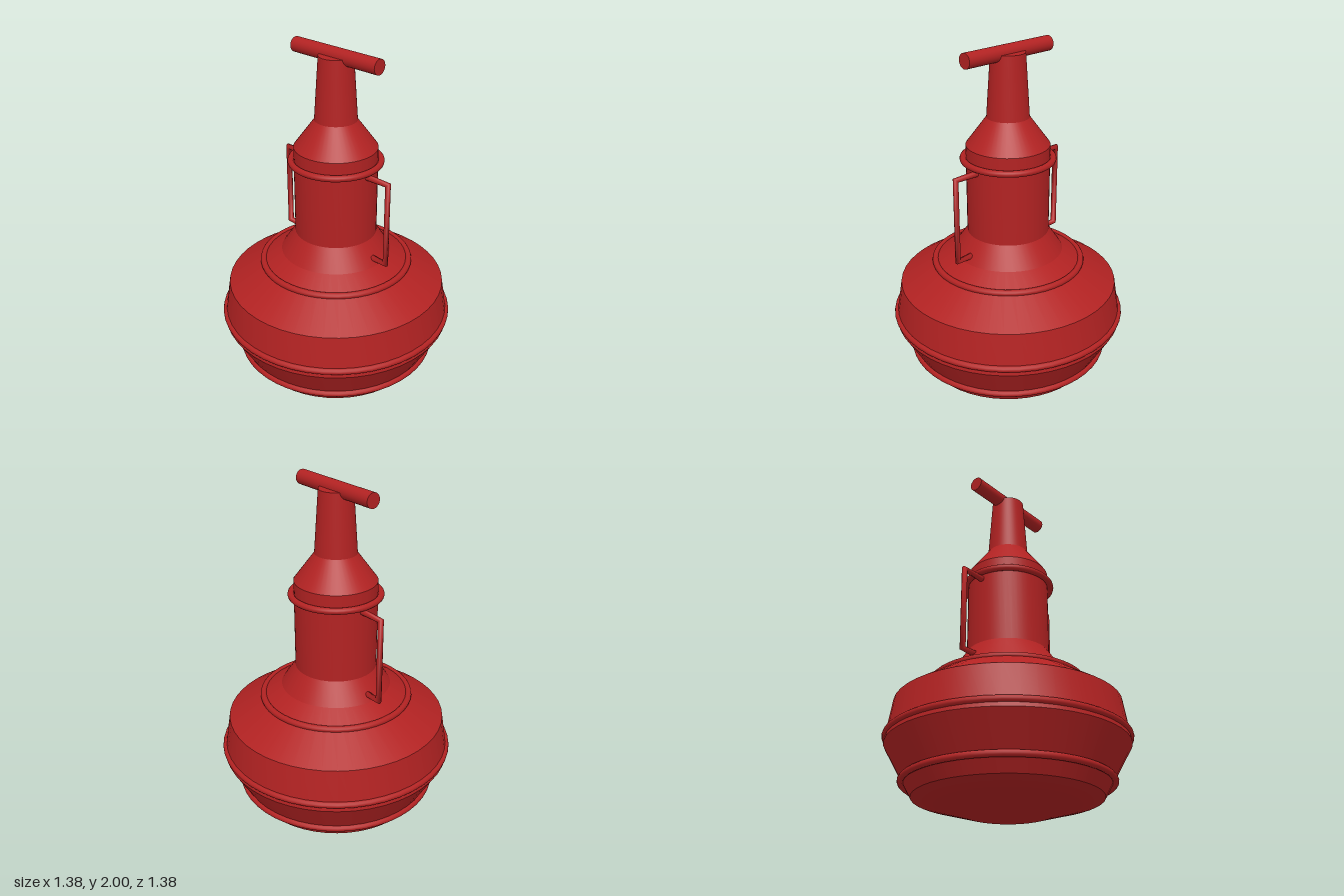
import * as THREE from 'three';
import { toCreasedNormals } from 'three/addons/utils/BufferGeometryUtils.js';

const SEGMENTS = 48;

// Straight-sided path whose rings are mitred at each corner
class BentPath extends THREE.Curve {
  constructor(points) {
    super();
    this.points = points;
  }
  getPoint(t) {
    const n = this.points.length - 1;
    const i = Math.min(Math.floor(t * n + 1e-6), n - 1);
    return this.points[i].clone().lerp(this.points[i + 1], t * n - i);
  }
  getPointAt(t) {
    return this.getPoint(t);
  }
  getTangentAt(t) {
    const p = this.points, n = p.length - 1, i = Math.round(t * n);
    const tangent = new THREE.Vector3();
    if (i > 0) tangent.add(p[i].clone().sub(p[i - 1]).normalize());
    if (i < n) tangent.add(p[i + 1].clone().sub(p[i]).normalize());
    return tangent.normalize();
  }
}

export function createModel() {
  const model = new THREE.Group();
  model.name = 'flask';
  const red = new THREE.MeshStandardMaterial({ color: 0xb22222 });
  red.name = 'red';

  function add(name, geometry, y = 0) {
    const mesh = new THREE.Mesh(geometry, red);
    mesh.name = name;
    mesh.position.y = y;
    model.add(mesh);
    return mesh;
  }

  // Turned body: base, belly, shoulder, neck and spout
  const profile = [
    [0, 0], [0.24, 0], [0.52, 0.08], [0.677, 0.36], [0.638, 0.6],
    [0.32, 0.8], [0.237, 0.922], [0.237, 1.442], [0.12, 1.6],
    [0.096, 1.957], [0, 1.957],
  ].map(([r, y]) => new THREE.Vector2(r, y));
  add('body', toCreasedNormals(new THREE.LatheGeometry(profile, SEGMENTS), 0.3));

  // Raised bands around the body
  const bands = [
    ['baseBand', 0.575, 0.162],
    ['bellyBand', 0.67, 0.4],
    ['shoulderBand', 0.43, 0.73],
    ['neckBand', 0.254, 1.36],
  ];
  for (const [name, radius, y] of bands) {
    const geometry = new THREE.TorusGeometry(radius, 0.0185, 12, SEGMENTS);
    geometry.rotateX(Math.PI / 2);
    add(name, geometry, y);
  }

  // Bent side handles
  for (const [name, side] of [['leftHandle', 1], ['rightHandle', -1]]) {
    const points = [[0.22, 1.325], [0.382, 1.325], [0.382, 0.835], [0.22, 0.835]]
      .map(([x, y]) => new THREE.Vector3(side * x, y, 0));
    add(name, new THREE.TubeGeometry(new BentPath(points), 3, 0.0185, 12));
  }

  // Crossbar on top
  const bar = new THREE.CylinderGeometry(0.0425, 0.0425, 0.604, 32);
  bar.rotateZ(Math.PI / 2);
  add('crossbar', bar, 1.9575);

  return model;
}
